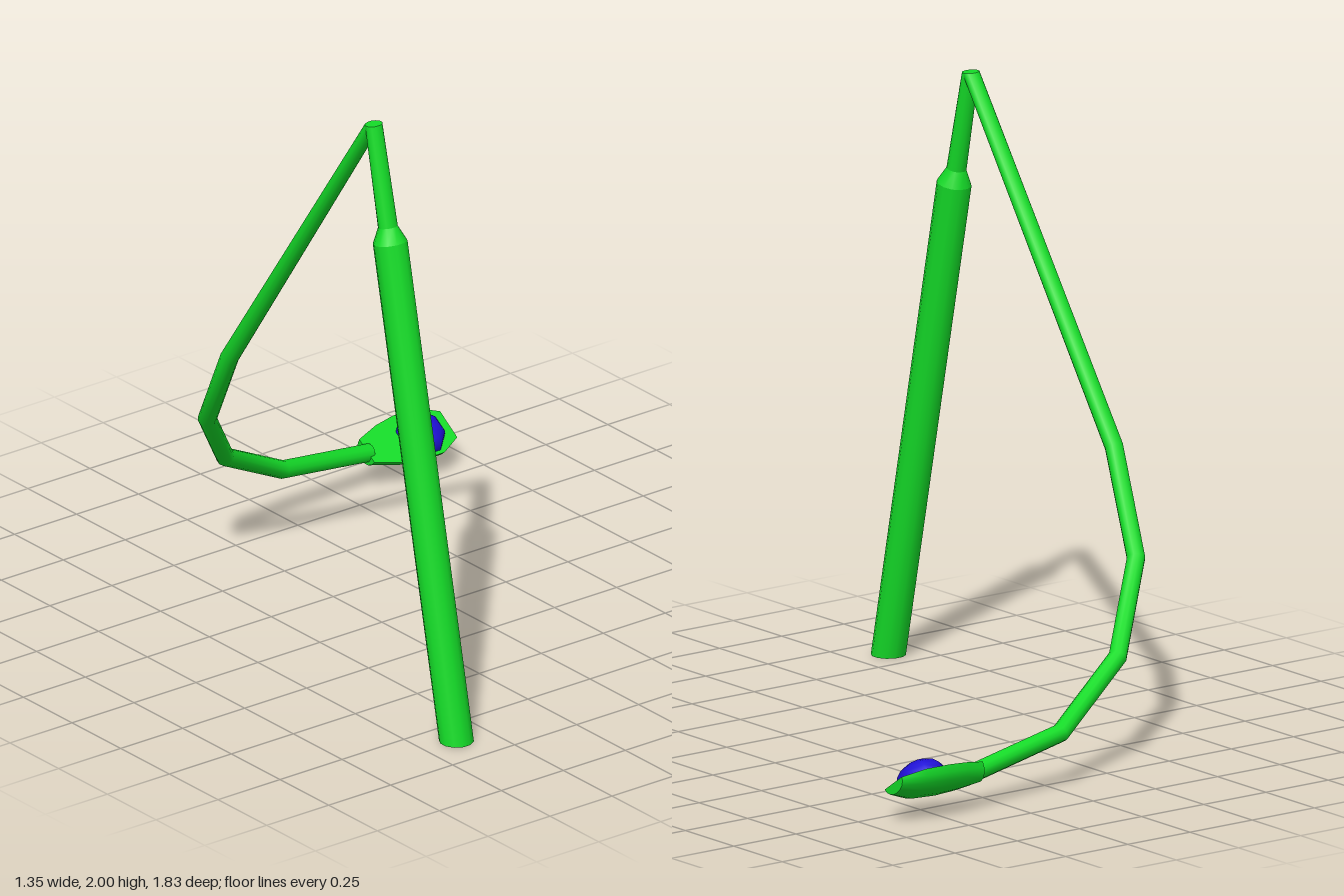
import * as THREE from 'three';

const V = (x, y, z) => new THREE.Vector3(x, y, z);
const green = new THREE.MeshStandardMaterial({ color: 0x14dc28, side: THREE.DoubleSide });
const blue = new THREE.MeshStandardMaterial({ color: 0x2010d8 });

// Axes of the tilted lamp head: its facing direction and its width
const FACE = V(0, 0.83, 0.56).normalize();
const WIDE = V(0, 0.56, -0.83).normalize();

// Skin between successive rings of points, with optional flat end caps
function loft(rings, closed, capStart, capEnd) {
  const pos = [], idx = [], n = rings[0].length;
  rings.forEach(r => r.forEach(p => pos.push(p.x, p.y, p.z)));
  for (let i = 0; i < rings.length - 1; i++) {
    for (let j = 0; j < (closed ? n : n - 1); j++) {
      const k = (j + 1) % n, a = i * n + j, b = i * n + k;
      idx.push(a, b, b + n, a, b + n, a + n);
    }
  }
  const cap = (ring, flip) => {
    const base = pos.length / 3;
    ring.forEach(p => pos.push(p.x, p.y, p.z));
    for (let j = 1; j < n - 1; j++) {
      if (flip) idx.push(base, base + j + 1, base + j);
      else idx.push(base, base + j, base + j + 1);
    }
  };
  if (capStart) cap(rings[0], true);
  if (capEnd) cap(rings[rings.length - 1], false);
  const g = new THREE.BufferGeometry();
  g.setAttribute('position', new THREE.Float32BufferAttribute(pos, 3));
  g.setIndex(idx);
  g.computeVertexNormals();
  return g;
}

// Round ring around a centre, square to direction t
function ring(c, r, t, sides, squash = 1) {
  t = t.clone().normalize();
  const v = WIDE.clone().addScaledVector(t, -WIDE.dot(t)).normalize();
  const u = v.clone().cross(t);
  return Array.from({ length: sides }, (_, j) => {
    const a = (j + 0.5) / sides * Math.PI * 2;
    return c.clone().addScaledVector(u, r * Math.cos(a)).addScaledVector(v, r * squash * Math.sin(a));
  });
}

function add(parent, name, geometry, material) {
  const mesh = new THREE.Mesh(geometry, material);
  mesh.name = name;
  parent.add(mesh);
  return mesh;
}

export function createModel() {
  const model = new THREE.Group();
  model.name = 'streetLamp';
  const top = V(-0.625, 1.997, 0.435), up = V(0, 1, 0), lean = V(0, 0.98, -0.206);

  // Leaning pole: thick shaft, sloped shoulder, thin neck
  const foot = ring(V(-0.625, 0, 0.86), 0.056, up, 12);
  const shoulder = ring(V(-0.625, 1.615, 0.52), 0.056, lean, 12);
  const neck = ring(V(-0.625, 1.665, 0.508), 0.032, lean, 12);
  const tip = ring(top, 0.031, up, 12, 0.75);
  add(model, 'poleShaft', loft([foot, shoulder], true, true, false), green);
  add(model, 'poleShoulder', loft([shoulder, neck], true), green);
  add(model, 'poleNeck', loft([neck, tip], true, false, true), green);

  // Curved arm, mitred at each bend
  const path = [
    top, V(-0.625, 0.92, -0.305), V(-0.55, 0.61, -0.515), V(-0.34, 0.355, -0.69),
    V(-0.02, 0.18, -0.805), V(0.36, 0.118, -0.845),
  ];
  const armRings = path.map((p, i) => {
    if (i === 0) return ring(p, 0.031, V(0, -1, 0), 12, 0.75);
    const t = p.clone().sub(path[i - 1]).normalize();
    if (i < path.length - 1) t.add(path[i + 1].clone().sub(p).normalize());
    return ring(p, 0.03, t, 12);
  });
  add(model, 'arm', loft(armRings, true, true, true), green);

  // Lamp head: rounded back, flat face; sections are [x, half width, depth]
  const head = new THREE.Group();
  head.name = 'lampHead';
  model.add(head);
  const centre = x => V(x, 0.132, -0.835);
  const sections = [
    [0.345, 0.047, 0.05], [0.43, 0.076, 0.058], [0.51, 0.09, 0.061],
    [0.6, 0.09, 0.056], [0.675, 0.053, 0.034],
  ];
  const shell = sections.map(([x, w, d]) => Array.from({ length: 9 }, (_, j) => {
    const a = Math.PI * (1 + j / 8);
    return centre(x).addScaledVector(WIDE, w * Math.cos(a)).addScaledVector(FACE, d * Math.sin(a));
  }));
  const lid = shell.map(r => [r[8], r[0]]);
  add(head, 'headShell', loft(shell, false, true, true), green);
  add(head, 'headFace', loft(lid, false), green);

  // Low dome of the bulb on the flat face
  const dome = new THREE.SphereGeometry(0.084, 8, 4, Math.PI / 8, Math.PI * 2, 0, Math.PI / 2);
  dome.scale(1, 0.68, 1);
  const bulb = add(head, 'bulb', dome, blue);
  bulb.position.copy(centre(0.56));
  bulb.quaternion.setFromUnitVectors(up, FACE);
  return model;
}
